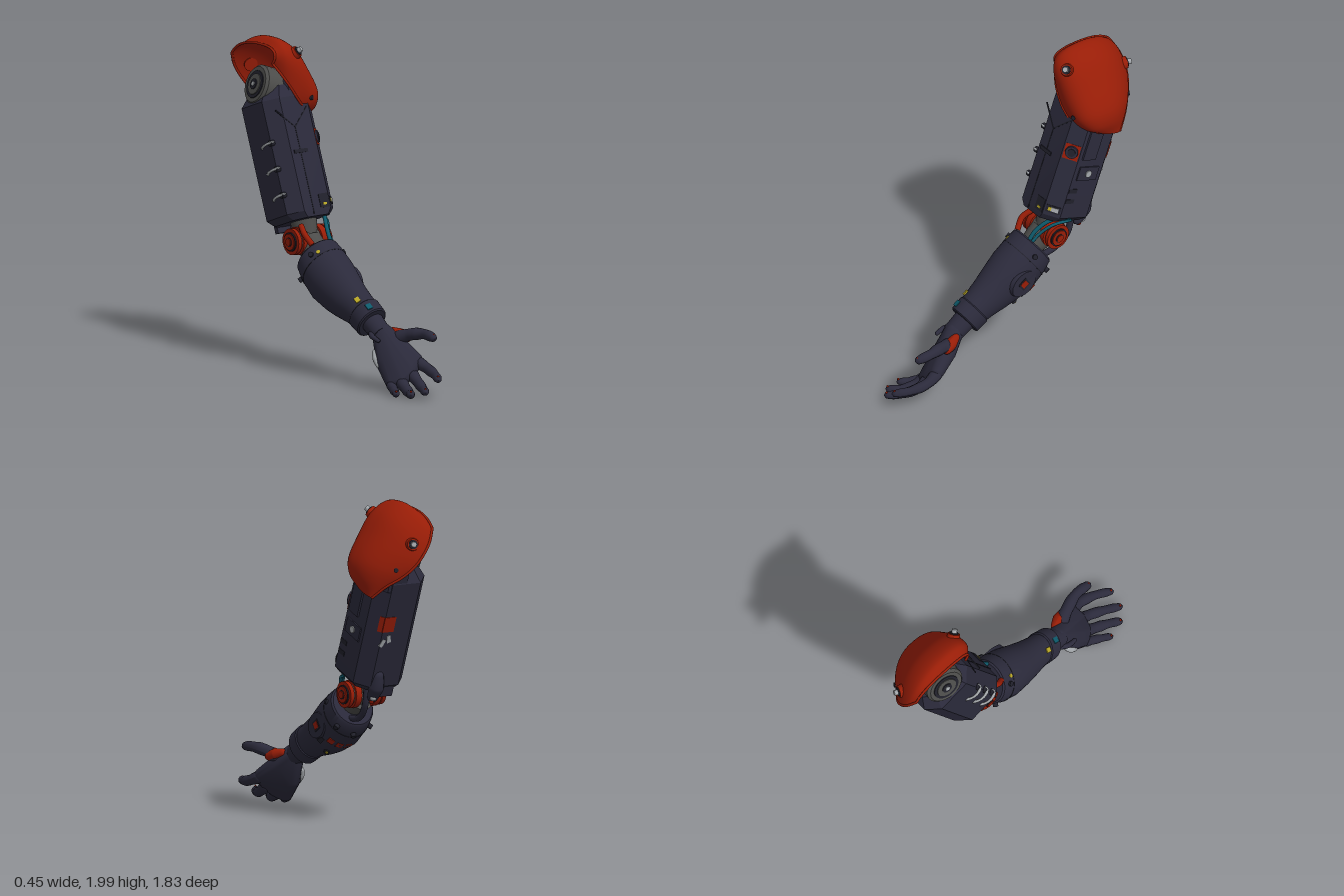
import * as THREE from 'three';
import { mergeVertices, toCreasedNormals } from 'three/addons/utils/BufferGeometryUtils.js';
import { ConvexGeometry } from 'three/addons/geometries/ConvexGeometry.js';

const V = (x, y, z) => new THREE.Vector3(x, y, z);
const curve = (pts) => new THREE.CatmullRomCurve3(pts.map((p) => V(...p)));
const material = (name, color, side = THREE.FrontSide) => {
  const m = new THREE.MeshStandardMaterial({ color, side });
  m.name = name;
  return m;
};

// Grid of points to a surface
function grid(rows) {
  const n = rows[0].length, index = [], pos = [];
  rows.forEach((row) => row.forEach((p) => pos.push(p.x, p.y, p.z)));
  for (let i = 0; i < rows.length - 1; i++) {
    for (let j = 0; j < n - 1; j++) {
      const a = i * n + j, b = a + 1, c = a + n, d = c + 1;
      index.push(a, c, b, b, c, d);
    }
  }
  const g = new THREE.BufferGeometry();
  g.setAttribute('position', new THREE.Float32BufferAttribute(pos, 3));
  g.setIndex(index);
  g.computeVertexNormals();
  return g;
}

// Closed body from sections [y, centreX, centreZ, radiusX, radiusZ] and a unit outline
function loft(sections, outline, crease) {
  const s = [...sections];
  const first = s[0], last = s[s.length - 1];
  s.unshift([first[0], first[1], first[2], 0, 0]);
  s.push([last[0], last[1], last[2], 0, 0]);
  const ring = [...outline, outline[0]];
  const g = grid(s.map(([y, cx, cz, rx, rz]) => ring.map(([x, z]) => V(cx + x * rx, y, cz + z * rz))));
  return toCreasedNormals(g, crease);
}

// Round-ended tube whose radius follows a list
function taper(points, radii, sides = 14) {
  const path = curve(points), seg = 32, len = path.getLength();
  const g = new THREE.TubeGeometry(path, seg, 1, sides, false);
  const pos = g.attributes.position, v = V(0, 0, 0);
  for (let i = 0; i <= seg; i++) {
    const u = i / seg, c = path.getPointAt(u), f = u * (radii.length - 1);
    const k = Math.min(Math.floor(f), radii.length - 2);
    let r = THREE.MathUtils.lerp(radii[k], radii[k + 1], f - k);
    const d = Math.min(u, 1 - u) * len;
    if (d < r) r *= Math.sqrt(1 - (1 - d / r) ** 2);
    for (let j = 0; j <= sides; j++) {
      const n = i * (sides + 1) + j;
      v.fromBufferAttribute(pos, n).sub(c).multiplyScalar(r).add(c);
      pos.setXYZ(n, v.x, v.y, v.z);
    }
  }
  g.computeVertexNormals();
  return g;
}

export function createModel() {
  const navy = material('navy shell', 0x2b2a3b);
  const orange = material('orange armour', 0x981d07, THREE.DoubleSide);
  const grey = material('joint grey', 0x4c4c4a);
  const dark = material('dark trim', 0x20202a);
  const silver = material('silver', 0xa4a8ac);
  const teal = material('teal cable', 0x0e5a6c);
  const yellow = material('yellow mark', 0xb8a626);

  const root = new THREE.Group();
  const add = (parent, name, geo, mat, pos, normal) => {
    const m = new THREE.Mesh(geo, mat);
    m.name = name;
    if (pos) m.position.set(...pos);
    if (normal) m.quaternion.setFromUnitVectors(V(0, 0, 1), V(...normal).normalize());
    parent.add(m);
    return m;
  };
  const box = (w, h, d) => new THREE.BoxGeometry(w, h, d);
  const disc = (r, d, r2 = r, n = 24) => new THREE.CylinderGeometry(r2, r, d, n).rotateX(Math.PI / 2);
  const limb = (name, angle) => {
    const g = new THREE.Group();
    g.name = name;
    g.position.set(-0.02, 0.8, -0.29);
    g.rotation.x = angle;
    root.add(g);
    return g;
  };
  const X = [1, 0, 0], circle = [];
  for (let i = 0; i < 36; i++) circle.push([Math.cos(i * Math.PI / 18), Math.sin(i * Math.PI / 18)]);
  const c = 0.57;
  const octagon = [[1, -c], [1, c], [c, 1], [-c, 1], [-1, c], [-1, -c], [-c, -1], [c, -1]];

  // Upper arm, y along the limb
  const upper = limb('upperArm', -0.362);
  add(upper, 'upperArmShell', loft([[0.115, 0, -0.01, 0.135, 0.165], [0.155, 0, -0.02, 0.175, 0.185],
    [0.85, 0, -0.02, 0.175, 0.185], [0.93, 0.02, -0.01, 0.135, 0.14]], octagon, 0.3), navy);
  add(upper, 'shoulderSocket', loft([[0.8, 0.06, -0.02, 0.115, 0.183], [0.95, 0.06, -0.03, 0.11, 0.17],
    [1.04, 0.06, -0.04, 0.08, 0.12]], octagon, 0.3), navy);
  // Shoulder joint, leaning inward at the top
  const lean = V(-0.93, 0.36, 0).normalize();
  const along = (d) => V(-0.115, 0.965, 0).addScaledVector(lean, d).toArray();
  add(upper, 'shoulderJoint', disc(0.125, 0.18), grey, along(-0.09), lean.toArray());
  [[0.125, 0.11, grey], [0.088, 0.085, dark], [0.068, 0.064, grey], [0.034, 0.032, dark], [0.014, 0.014, silver]]
    .forEach(([r, r2, m], i) => add(upper, 'shoulderHub', disc(r, 0.016, r2), m, along(0.008 + i * 0.005), lean.toArray()));
  add(upper, 'neck', new THREE.CylinderGeometry(0.085, 0.065, 0.14, 24), grey, [0, 0.07, 0]);
  add(upper, 'backPlate', box(0.15, 0.1, 0.03), navy, [0, 0.13, -0.185]);
  add(upper, 'frontSeam', box(0.007, 0.54, 0.006), dark, [-0.03, 0.4, 0.164]);
  [-1, 1].forEach((s) => {
    const seam = add(upper, 'frontSeam', box(0.007, 0.17, 0.006), dark, [-0.03 + s * 0.058, 0.72, 0.164]);
    seam.rotation.z = -s * 0.8;
  });
  add(upper, 'frontSlot', box(0.1, 0.022, 0.012), dark, [-0.03, 0.515, 0.166]);
  // Front corner port
  const corner = [1, 0, 1];
  add(upper, 'portPlate', box(0.095, 0.1, 0.012), orange, [0.135, 0.59, 0.122], corner);
  add(upper, 'portRing', disc(0.042, 0.02, 0.038), navy, [0.14, 0.59, 0.127], corner);
  add(upper, 'portLens', disc(0.024, 0.012), dark, [0.146, 0.59, 0.133], corner);
  // Outer side panels
  add(upper, 'sidePanel', box(0.1, 0.22, 0.025), navy, [0.175, 0.665, 0.01], X);
  add(upper, 'sidePlate', box(0.15, 0.09, 0.018), navy, [0.175, 0.46, -0.02], X);
  add(upper, 'sideDot', disc(0.022, 0.01), silver, [0.186, 0.46, -0.02], X);
  [0.34, 0.27].forEach((y) => add(upper, 'sideSlot', box(0.065, 0.028, 0.01), dark, [0.173, y, 0.05], X));
  add(upper, 'sideLabel', box(0.09, 0.045, 0.008), dark, [0.138, 0.2, 0.125], corner);
  add(upper, 'sideLabelMark', box(0.045, 0.026, 0.006), silver, [0.149, 0.2, 0.121], corner);
  add(upper, 'sideLabelMark', box(0.02, 0.022, 0.006), yellow, [0.126, 0.2, 0.144], corner);
  add(upper, 'frontPatch', box(0.07, 0.085, 0.008), dark, [0.06, 0.2, 0.164]);
  add(upper, 'frontPatchMark', box(0.026, 0.014, 0.006), yellow, [0.06, 0.18, 0.168]);
  // Back patches
  add(upper, 'backPatch', box(0.08, 0.1, 0.009), orange, [0.064, 0.58, -0.204], [0, 0, -1]);
  add(upper, 'backPatch', box(0.03, 0.1, 0.009), orange, [0.113, 0.58, -0.191], [1, 0, -1]);
  [[0.045, 0.48], [0.085, 0.455]].forEach(([x, y], i) => {
    add(upper, 'backMark', box(0.026, 0.05, 0.008), silver, [x, y, -0.204]).rotation.z = i ? 0.4 : -0.3;
  });
  add(upper, 'backStrut', taper([[0.055, 0.26, -0.19], [0.055, 0.15, -0.2], [0.05, 0.04, -0.175]], [0.03, 0.048, 0.026]), navy);
  add(upper, 'strutTip', new THREE.SphereGeometry(0.02, 14, 10), silver, [0.065, 0.085, -0.21]);
  add(upper, 'strutTip', new THREE.SphereGeometry(0.017, 14, 10), orange, [0.06, 0.055, -0.195]);
  // Cable loops on the inner side
  [0.27, 0.43, 0.59].forEach((y) => {
    const loop = add(upper, 'cableLoop', new THREE.TorusGeometry(0.032, 0.008, 8, 24), silver, [-0.166, y, 0.04]);
    loop.rotation.set(Math.PI / 2 - 0.15, 0, 0.25);
    loop.scale.y = 1.9;
    add(upper, 'cableSocket', disc(0.018, 0.03), dark, [-0.175, y + 0.005, 0.09], X);
  });

  // Shoulder armour: arches from front edge over a crest to back edge
  const crest = curve([[-0.14, 1.96, -0.6], [-0.08, 2.0, -0.59], [0.03, 1.945, -0.59], [0.13, 1.81, -0.59],
    [0.21, 1.66, -0.58], [0.218, 1.57, -0.59], [0.19, 1.47, -0.62]]);
  const edge = [[-0.145, 1.86], [-0.1, 1.78], [-0.05, 1.705], [0, 1.635], [0.06, 1.57], [0.12, 1.52], [0.175, 1.47]];
  const frontZ = [-0.47, -0.425, -0.41, -0.41, -0.43, -0.48, -0.55], backZ = [-0.87, -0.905, -0.91, -0.89, -0.84, -0.78, -0.7];
  const front = curve(edge.map((e, i) => [e[0], e[1] + (i === 6 ? 0.03 : 0), frontZ[i]]));
  const back = curve(edge.map(([x, y], i) => [x, y - (i === 6 ? 0.025 : 0), backZ[i]]));
  const armour = (u, v) => {
    const a = Math.cos(v * Math.PI), across = Math.sign(a) * Math.abs(a) ** (v < 0.5 ? 0.8 : 0.9);
    const f = front.getPoint(u), b = back.getPoint(u), mid = f.clone().lerp(b, 0.5);
    const swell = Math.max(0, Math.sin(v * Math.PI)) ** (v < 0.5 ? 0.8 : 0.75 + 0.45 * u);
    const rise = crest.getPoint(u).sub(mid).multiplyScalar(swell);
    return f.lerp(b, (1 - across) / 2).add(rise);
  };
  const steps = Array.from({ length: 41 }, (_, i) => i / 40);
  add(root, 'shoulderArmour', grid(steps.map((u) => steps.map((v) => armour(u, v)))), orange);
  const rim = [...steps.slice().reverse().map((u) => armour(u, 0)), ...steps.slice(1).map((v) => armour(0, v)),
    ...steps.slice(1).map((u) => armour(u, 1))];
  add(root, 'armourRim', new THREE.TubeGeometry(new THREE.CatmullRomCurve3(rim), 160, 0.008, 8), orange);
  // Bolts seated on the armour surface at [u, v, facing, size]
  [[0.31, 0.29, [0.45, 0.6, 0.65], 1], [0.37, 0.89, [0.35, 0.15, -0.92], 1]].forEach(([u, v, n]) => {
    const dir = V(...n).normalize(), at = (d) => armour(u, v).addScaledVector(dir, d).toArray();
    add(root, 'boltSeat', disc(0.042, 0.03, 0.036), orange, at(0), n);
    add(root, 'boltCollar', disc(0.03, 0.03, 0.027), dark, at(0.006), n);
    add(root, 'bolt', disc(0.019, 0.05, 0.017, 8), silver, at(0.018), n);
  });
  [[0.62, 0.1, 1], [0.62, 0.9, -1]].forEach(([u, v, s]) =>
    add(root, 'smallBolt', disc(0.014, 0.016), dark, armour(u, v).toArray(), [0.5, 0.1, s * 0.8]));

  // Elbow joint
  add(root, 'elbowCore', disc(0.07, 0.2), grey, [-0.02, 0.8, -0.29], X);
  [-1, 1].forEach((s) => {
    [[0.07, 0.085, 0.04, orange], [0.095, 0.066, 0.03, orange], [0.115, 0.08, 0.025, orange], [0.13, 0.058, 0.012, dark],
      [0.134, 0.05, 0.016, orange], [0.141, 0.028, 0.008, dark], [0.144, 0.023, 0.012, orange]].forEach(([x, r, d, m]) =>
      add(root, 'elbowDisc', disc(r, d), m, [-0.02 + s * x, 0.8, -0.29], X));
  });
  const hose = (name, pts, r, m) => add(root, name, new THREE.TubeGeometry(curve(pts), 24, r, 8), m);
  hose('tealCable', [[0.03, 0.79, -0.12], [0.04, 0.86, -0.17], [0.08, 0.925, -0.25], [0.145, 0.94, -0.35]], 0.013, teal);
  hose('tealCable', [[0.05, 0.79, -0.13], [0.06, 0.84, -0.18], [0.1, 0.9, -0.25], [0.145, 0.92, -0.36]], 0.01, teal);
  hose('innerCable', [[-0.1, 0.8, -0.14], [-0.12, 0.86, -0.19], [-0.1, 0.9, -0.25]], 0.018, orange);
  hose('backHose', [[0.04, 0.86, -0.44], [0.035, 0.74, -0.41], [0.02, 0.66, -0.33], [0.02, 0.64, -0.22]], 0.02, navy);

  // Forearm, y along the limb, z toward its underside
  const fore = limb('forearm', 2.155);
  add(fore, 'forearmNeck', new THREE.CylinderGeometry(0.07, 0.09, 0.13, 24), grey, [0, 0.09, 0.01]);
  add(fore, 'forearmShell', loft([[0.125, 0, 0.02, 0.132, 0.132], [0.135, 0, 0.02, 0.142, 0.142], [0.2, 0, 0.03, 0.15, 0.155],
    [0.32, 0, 0.04, 0.148, 0.165], [0.43, 0, 0.037, 0.13, 0.15], [0.515, 0.002, 0.03, 0.115, 0.132],
    [0.6, 0.006, 0.015, 0.1, 0.115], [0.66, 0.01, 0.005, 0.093, 0.106]], circle, 0.6), navy);
  add(fore, 'wristCuff', loft([[0.645, 0.01, 0.005, 0.094, 0.107], [0.652, 0.01, 0.005, 0.1, 0.115],
    [0.735, 0.012, 0.003, 0.096, 0.111], [0.742, 0.012, 0.003, 0.088, 0.102]], circle, 0.6), navy);
  add(fore, 'elbowBand', loft([[0.22, 0, 0.032, 0.152, 0.158], [0.225, 0, 0.032, 0.152, 0.158]], circle, 0.6), dark);
  add(fore, 'wrist', new THREE.CylinderGeometry(0.062, 0.07, 0.14, 24), navy, [0.015, 0.78, 0.0]);
  add(fore, 'sidePanel', disc(0.08, 0.03, 0.074, 32).scale(1, 1.25, 1), navy, [0.133, 0.345, 0.035], X);
  add(fore, 'sideWindow', box(0.062, 0.062, 0.01), dark, [0.146, 0.345, 0.035], X);
  add(fore, 'sideWindowInset', box(0.042, 0.042, 0.006), orange, [0.15, 0.345, 0.035], X);
  add(fore, 'sideSlot', box(0.03, 0.05, 0.012), dark, [0.122, 0.38, 0.115], [0.8, 0, 0.55]);
  // Fittings around the shell
  const ringAt = (y, a, name, geo, m, out = 0) => add(fore, name, geo, m,
    [Math.cos(a) * (0.149 + out), y, 0.035 + Math.sin(a) * (0.16 + out)], [Math.cos(a), 0, Math.sin(a)]);
  [0.85, 1.22, 1.6].forEach((a) => ringAt(0.32, a, 'underWindow', box(0.04, 0.042, 0.009), orange, 0.003));
  [-0.5, 0.6, 1.4, 2.4, 3.8].forEach((a) => ringAt(0.185, a, 'rivet', disc(0.016, 0.024), dark));
  ringAt(0.45, 1.1, 'rivet', disc(0.018, 0.024), dark, -0.018);
  ringAt(0.45, 1.1, 'rivetCentre', disc(0.008, 0.008), yellow, -0.004);
  ringAt(0.2, -2.2, 'yellowMark', disc(0.012, 0.008), yellow, 0.001);
  add(fore, 'wristMark', box(0.03, 0.035, 0.008), yellow, [-0.055, 0.615, -0.08], [-0.55, 0, -0.83]);
  add(fore, 'wristMark', box(0.035, 0.04, 0.008), teal, [-0.03, 0.7, -0.1], [-0.3, 0, -0.95]);

  // Hand: palm as a hull of balls, then digits
  const hand = new THREE.Group();
  hand.name = 'hand';
  root.add(hand);
  const balls = [[0, 0.345, 0.41, 0.06], [-0.025, 0.18, 0.49, 0.065], [0.05, 0.27, 0.5, 0.06], [0.1, 0.195, 0.61, 0.044],
    [0.05, 0.14, 0.63, 0.042], [-0.01, 0.09, 0.62, 0.04], [-0.045, 0.07, 0.57, 0.042]];
  const hull = [];
  balls.forEach(([x, y, z, r]) => {
    const p = new THREE.SphereGeometry(r, 12, 8).attributes.position;
    for (let i = 0; i < p.count; i++) hull.push(V(x, y, z).add(V(0, 0, 0).fromBufferAttribute(p, i)));
  });
  const palm = new ConvexGeometry(hull);
  palm.deleteAttribute('normal');
  add(hand, 'palm', toCreasedNormals(mergeVertices(palm, 1e-4), 0.7), navy);
  const digits = {
    thumb: [[0.05, 0.3, 0.46], [0.09, 0.345, 0.57], [0.12, 0.36, 0.67], [0.115, 0.35, 0.785]],
    indexFinger: [[0.1, 0.195, 0.59], [0.12, 0.155, 0.7], [0.1, 0.135, 0.8], [0.045, 0.125, 0.91]],
    middleFinger: [[0.05, 0.14, 0.61], [0.045, 0.085, 0.7], [0.01, 0.06, 0.8], [-0.045, 0.06, 0.9]],
    ringFinger: [[-0.01, 0.09, 0.6], [-0.03, 0.05, 0.68], [-0.06, 0.035, 0.76], [-0.11, 0.045, 0.84]],
    littleFinger: [[-0.05, 0.068, 0.56], [-0.075, 0.04, 0.62], [-0.1, 0.033, 0.67], [-0.14, 0.033, 0.735]],
  };
  Object.entries(digits).forEach(([name, pts]) => {
    const k = name === 'thumb' ? 1.3 : name === 'littleFinger' ? 0.95 : 1.12;
    add(hand, name, taper(pts, [0.036, 0.034, 0.028, 0.029, 0.023, 0.024, 0.016].map((r) => r * k)), navy);
    const tip = V(...pts[3]).lerp(V(...pts[2]), 0.15);
    add(hand, 'fingertipPad', new THREE.SphereGeometry(0.007, 10, 8), orange, [tip.x, tip.y + 0.018, tip.z]);
  });
  add(hand, 'thumbPad', taper([[0.05, 0.355, 0.42], [0.08, 0.335, 0.49], [0.105, 0.31, 0.56]], [0.02, 0.036, 0.024]), orange);
  add(hand, 'heelPatch', taper([[-0.06, 0.25, 0.42], [-0.073, 0.2, 0.45], [-0.078, 0.15, 0.49]], [0.016, 0.023, 0.016]), silver);
  add(hand, 'wristHook', taper([[-0.05, 0.34, 0.37], [-0.08, 0.33, 0.42], [-0.078, 0.31, 0.49]], [0.018, 0.016, 0.012]), navy);
  return root;
}
